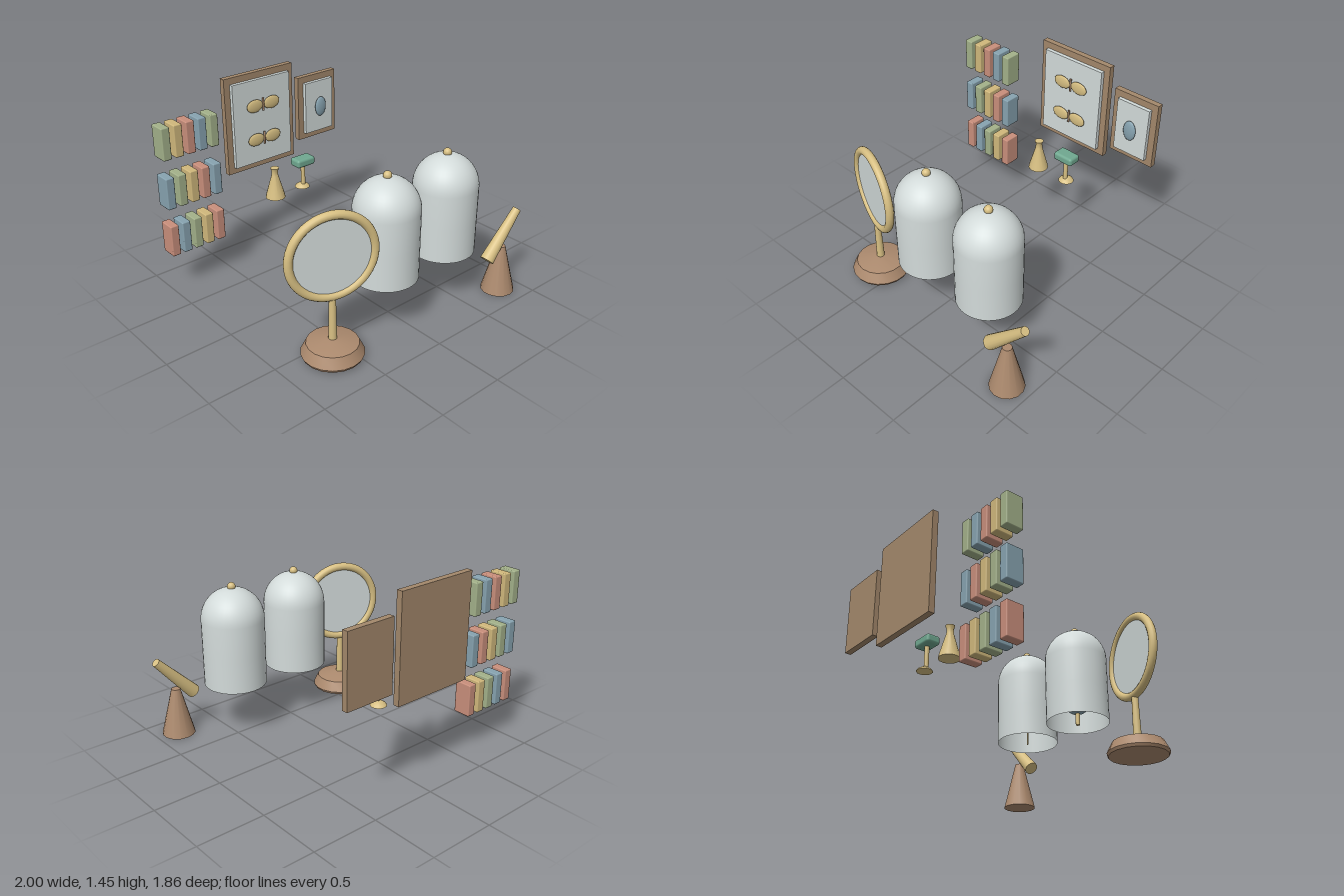
import * as THREE from 'three';
import { RoundedBoxGeometry } from 'three/addons/geometries/RoundedBoxGeometry.js';
import { toCreasedNormals } from 'three/addons/utils/BufferGeometryUtils.js';

const material = (name, color, side = THREE.FrontSide) => {
  const m = new THREE.MeshStandardMaterial({ color, side });
  m.name = name;
  return m;
};

export function createModel() {
  const root = new THREE.Group();
  root.name = 'curiosityCollection';
  const green = material('sage green', 0xa3b18a);
  const ochre = material('ochre', 0xd0b87c);
  const rose = material('dusty rose', 0xc98f7c);
  const blue = material('slate blue', 0x87a3b0);
  const brass = material('brass', 0xd8c083, THREE.DoubleSide);
  const glass = material('pale glass', 0xd3dbda, THREE.DoubleSide);
  const wood = material('wood', 0xac8a6e);
  const frameWood = material('frame wood', 0xa3886b);
  const teal = material('teal', 0x70a890);

  const add = (parent, name, geometry, mat, x = 0, y = 0, z = 0) => {
    const mesh = new THREE.Mesh(geometry, mat);
    mesh.name = name;
    mesh.position.set(x, y, z);
    parent.add(mesh);
    return mesh;
  };
  const group = (name, x = 0, y = 0, z = 0) => {
    const g = new THREE.Group();
    g.name = name;
    g.position.set(x, y, z);
    root.add(g);
    return g;
  };
  const box = (w, h, d) => new THREE.BoxGeometry(w, h, d);
  const cyl = (top, bottom, h, sides = 16) => new THREE.CylinderGeometry(top, bottom, h, sides);
  const ball = (rx, ry, rz) => new THREE.SphereGeometry(1, 20, 14).scale(rx, ry, rz);
  const lathe = (points, sides) => toCreasedNormals(
    new THREE.LatheGeometry(points.map(([r, y]) => new THREE.Vector2(r, y)), sides), 0.6);

  // Standing mirror, turned a little about its stem
  const mirror = group('mirror', -0.62, 0, 0.625);
  add(mirror, 'mirrorBase', lathe(
    [[0, 0.015], [0.205, 0.015], [0.215, 0.035], [0.178, 0.11], [0.05, 0.14], [0, 0.14]], 18), wood);
  add(mirror, 'mirrorStem', cyl(0.023, 0.029, 0.32), brass, 0, 0.29, 0);
  const head = new THREE.Group();
  head.name = 'mirrorHead';
  head.position.y = 0.75;
  head.rotation.y = -0.32;
  mirror.add(head);
  add(head, 'mirrorRim', new THREE.TorusGeometry(0.29, 0.03, 14, 48), brass);
  add(head, 'mirrorGlass', cyl(0.275, 0.275, 0.02, 48).rotateX(Math.PI / 2), glass);

  // Two bell jars, open underneath
  const domeProfile = [[0.23, 0.39], [0.23, 0.64], [0.23, 0.89]];
  for (let i = 1; i <= 12; i++) {
    const a = (i / 12) * Math.PI / 2;
    domeProfile.push([Math.max(0, 0.23 * Math.cos(a)), 0.89 + 0.23 * Math.sin(a)]);
  }
  const jars = [-0.108, 0.452].map((x) => {
    const jar = group('bellJar', x, 0, 0.57);
    add(jar, 'jarDome', lathe(domeProfile, 36), glass);
    add(jar, 'jarKnob', ball(0.03, 0.03, 0.03), brass, 0, 1.13, 0);
    return jar;
  });

  // Specimens inside the jars
  add(jars[0], 'globeStand', cyl(0.016, 0.016, 0.17), brass, 0, 0.46, 0);
  add(jars[0], 'globe', ball(0.1, 0.1, 0.1), blue, 0, 0.56, 0);
  add(jars[1], 'birdStand', cyl(0.006, 0.006, 0.22, 8), brass, 0, 0.49, 0);
  const bird = add(jars[1], 'birdBody', ball(0.09, 0.05, 0.05), wood, -0.02, 0.62, 0);
  bird.rotation.z = 0.3;
  add(jars[1], 'birdHead', ball(0.035, 0.035, 0.035), wood, 0.07, 0.68, 0);

  // Spyglass resting on a cone
  const spyglass = group('spyglass', 0.829, 0, 0.802);
  add(spyglass, 'spyglassStand', cyl(0.033, 0.123, 0.36, 14), wood, 0, 0.18, 0);
  const low = new THREE.Vector3(-0.149, 0.293, 0);
  const high = new THREE.Vector3(0.145, 0.61, 0);
  const along = high.clone().sub(low);
  const tube = add(spyglass, 'spyglassTube', cyl(0.031, 0.052, along.length()), brass);
  tube.position.copy(low).add(high).multiplyScalar(0.5);
  tube.quaternion.setFromUnitVectors(new THREE.Vector3(0, 1, 0), along.normalize());

  // Wall frames with mounted panels
  const frame = (name, x, y, w, h) => {
    const g = group(name, x, y, 0);
    add(g, 'frameBoard', box(w, h, 0.045), frameWood, 0, 0, -0.908);
    add(g, 'framePanel', box(w - 0.1, h - 0.1, 0.03), glass, 0, 0, -0.871);
    return g;
  };
  const large = frame('largeFrame', -0.053, 1.066, 0.62, 0.76);
  for (const y of [0.134, -0.136]) {
    for (const side of [-1, 1]) {
      add(large, 'mothWing', ball(0.073, 0.05, 0.014), brass, side * 0.077, y, -0.84);
    }
    add(large, 'mothBody', cyl(0.008, 0.008, 0.1, 8), wood, 0, y, -0.84);
  }
  const small = frame('smallFrame', 0.5, 1.048, 0.37, 0.515);
  add(small, 'beetle', ball(0.052, 0.08, 0.02), blue, 0, 0, -0.838);

  // Three rows of books in a repeating colour order
  const colours = [green, ochre, rose, blue];
  const bookGeometry = new RoundedBoxGeometry(0.065, 0.24, 0.13, 2, 0.008);
  const books = group('books');
  [1.17, 0.795, 0.42].forEach((y, row) => {
    for (let i = 0; i < 5; i++) {
      add(books, 'book', bookGeometry, colours[(i + 4 - row) % 4], -0.967 + i * 0.0965, y, -0.762);
    }
  });

  // Flask
  const flask = group('flask', -0.14, 0, -0.607);
  add(flask, 'flaskBody', lathe(
    [[0, 0.54], [0.075, 0.54], [0.07, 0.565], [0.026, 0.72], [0.024, 0.755], [0.033, 0.78], [0, 0.78]], 16), brass);

  // Small pedestal with a block on top
  const pedestal = group('pedestal', 0.128, 0, -0.607);
  add(pedestal, 'pedestalFoot', lathe(
    [[0, 0.54], [0.058, 0.54], [0.05, 0.553], [0.02, 0.572], [0, 0.572]], 16), brass, 0, 0, -0.012);
  add(pedestal, 'pedestalPost', cyl(0.017, 0.017, 0.18), brass, 0, 0.65, 0);
  add(pedestal, 'pedestalBlock', new RoundedBoxGeometry(0.165, 0.065, 0.107, 3, 0.02), teal, 0, 0.76, 0);

  return root;
}
